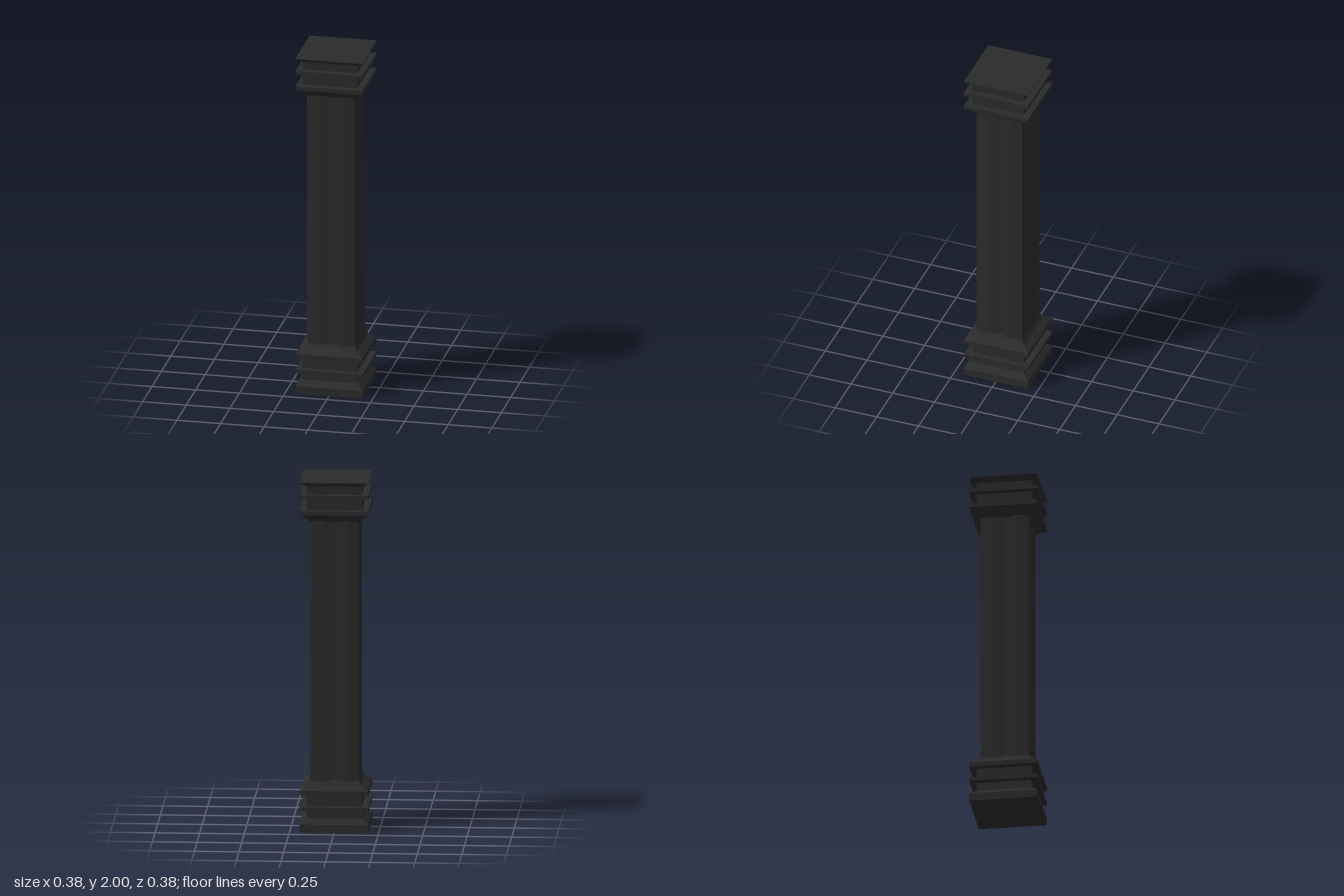
import * as THREE from 'three';

const material = new THREE.MeshStandardMaterial({ color: 0x2b2b2b, flatShading: true });

// Square moulding: a profile of [half width, height] swept round four sides
function moulding(name, profile) {
  const points = profile.map(([w, y]) => new THREE.Vector2(w * Math.SQRT2, y));
  const geometry = new THREE.LatheGeometry(points, 4, Math.PI / 4).toNonIndexed();
  geometry.computeVertexNormals();
  const mesh = new THREE.Mesh(geometry, material);
  mesh.name = name;
  return mesh;
}

// Square shaft whose faces are shallow pleats, with a crease down each middle
function shaft(bottom, top) {
  const corner = 0.136, ridge = 0.141, crease = 0.133;
  const side = [[corner, -corner], [ridge, -0.07], [crease, 0], [ridge, 0.07]];
  const outline = [];
  for (let i = 0; i < 4; i++) {
    const centre = new THREE.Vector2();
    for (const [x, y] of side) {
      outline.push(new THREE.Vector2(x, y).rotateAround(centre, i * Math.PI / 2));
    }
  }
  const geometry = new THREE.ExtrudeGeometry(new THREE.Shape(outline), {
    depth: top - bottom, bevelEnabled: false,
  });
  geometry.rotateX(-Math.PI / 2).translate(0, bottom, 0);
  const mesh = new THREE.Mesh(geometry, material);
  mesh.name = 'shaft';
  return mesh;
}

export function createModel() {
  const column = new THREE.Group();
  column.name = 'column';

  // Base: plinth, thin fillet, upper band and flare into the shaft
  column.add(moulding('base', [
    [0, 0], [0.192, 0], [0.192, 0.045], [0.157, 0.075],
    [0.155, 0.122], [0.192, 0.122], [0.192, 0.143], [0.155, 0.143],
    [0.155, 0.21], [0.192, 0.21], [0.192, 0.237], [0.152, 0.265],
    [0.132, 0.295], [0, 0.295],
  ]));

  column.add(shaft(0.27, 1.79));

  // Capital: flare, lower band, thin fillet and splayed top slab
  column.add(moulding('capital', [
    [0, 1.76], [0.132, 1.76], [0.152, 1.785], [0.192, 1.812],
    [0.192, 1.836], [0.155, 1.836], [0.155, 1.905], [0.192, 1.905],
    [0.192, 1.926], [0.155, 1.926], [0.157, 1.972], [0.192, 1.996],
    [0.192, 2], [0, 2],
  ]));

  return column;
}
